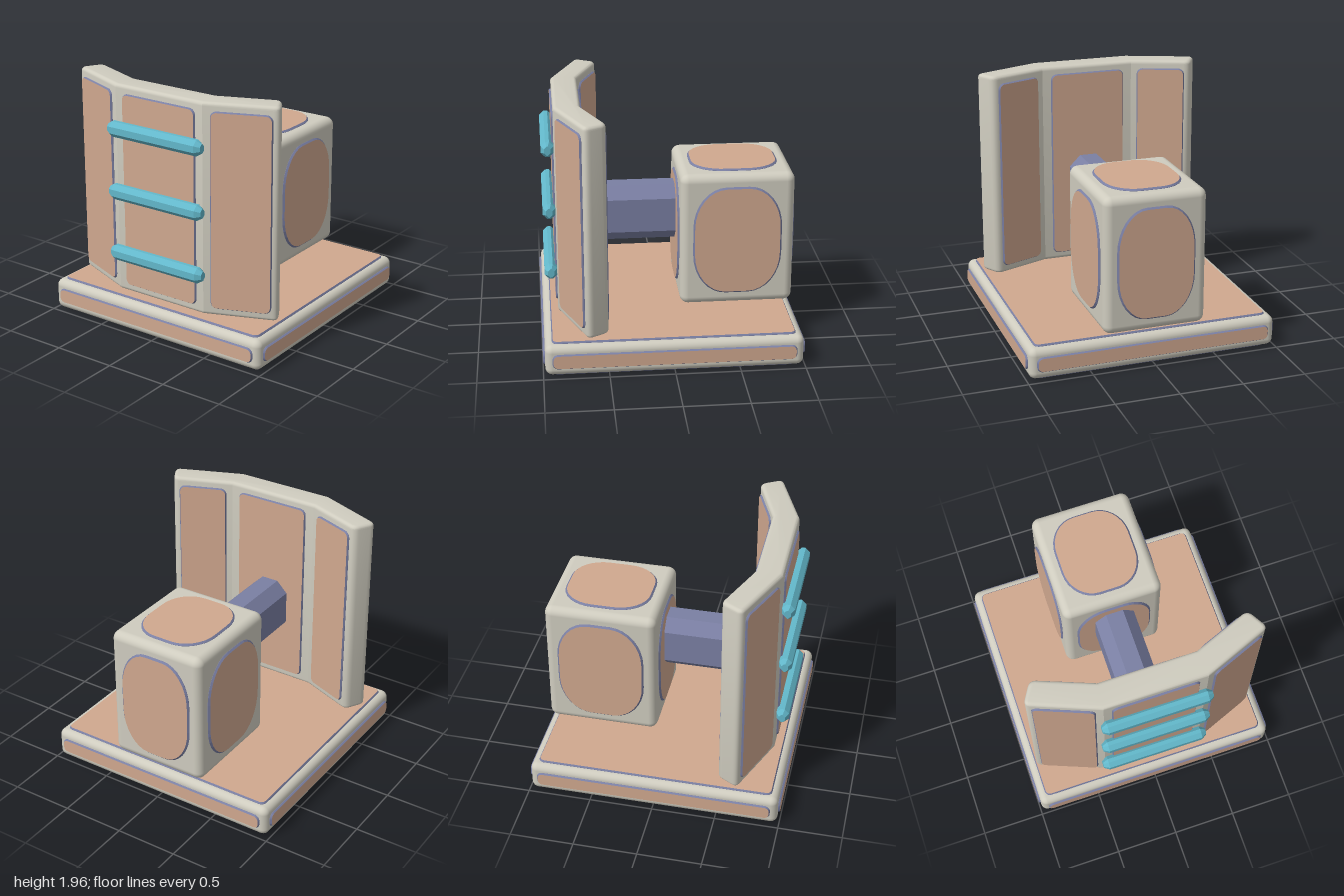
import * as THREE from 'three';
import { toCreasedNormals } from 'three/addons/utils/BufferGeometryUtils.js';
import { RoundedBoxGeometry } from 'three/addons/geometries/RoundedBoxGeometry.js';

export function createModel() {
  const model = new THREE.Group();
  const mat = (name, color) => new THREE.MeshStandardMaterial({ name, color });
  const shell = mat('warm grey shell', 0xcfccbf);
  const peach = mat('peach panel', 0xd0a88f);
  const slate = mat('slate blue', 0x7a7fa3);
  const teal = mat('teal', 0x63b8cb);

  function add(name, geometry, material, x = 0, y = 0, z = 0) {
    const mesh = new THREE.Mesh(geometry, material);
    mesh.name = name;
    mesh.position.set(x, y, z);
    model.add(mesh);
    return mesh;
  }

  // Raised panel facing +z: peach face with a sloping slate rim
  function panelGeometry(hw, hh, rx, ry, rim) {
    const s = new THREE.Shape();
    const corners = [[1, 1], [-1, 1], [-1, -1], [1, -1]];
    corners.forEach(([sx, sy], i) => {
      const a = i * Math.PI / 2;
      s.absellipse(sx * (hw - rx), sy * (hh - ry), rx, ry, a, a + Math.PI / 2, false, 0);
    });
    s.closePath();
    const g = new THREE.ExtrudeGeometry(s, {
      depth: 0.02, curveSegments: 4, bevelSegments: 1,
      bevelThickness: 0.013, bevelSize: rim, bevelOffset: -rim,
    });
    return g.translate(0, 0, 0.015 - 0.033);
  }
  function addPanel(name, hw, hh, [rx, ry], pos, turnX, turnY, rim = 0.008) {
    const m = add(name, panelGeometry(hw, hh, rx, ry, rim), [peach, slate], ...pos);
    m.rotation.set(turnX, turnY, 0);
  }

  // Rounded block with a panel on each of its six faces
  function panelledBlock(name, w, h, d, y, z, radius, px, py, pz, cornerOf, rim) {
    add(name, new RoundedBoxGeometry(w, h, d, 4, radius), shell, 0, y, z);
    const q = Math.PI / 2;
    for (const s of [1, -1]) {
      addPanel(name + 'EndPanel', px, py, cornerOf(px, py), [0, y, z + s * d / 2], 0, s > 0 ? 0 : Math.PI, rim);
      addPanel(name + 'SidePanel', pz, py, cornerOf(pz, py), [s * w / 2, y, z], 0, s * q, rim);
      addPanel(name + (s > 0 ? 'TopPanel' : 'BottomPanel'), px, pz, cornerOf(px, pz), [0, y + s * h / 2, z], -s * q, 0, rim);
    }
  }

  // Base slab and rear block
  panelledBlock('base', 1.97, 0.245, 1.97, 0.1375, 0, 0.055, 0.93, 0.06, 0.93, () => [0.045, 0.045], 0.008);
  panelledBlock('rearBlock', 0.81, 1.08, 0.89, 0.83, -0.54, 0.065, 0.308, 0.442, 0.347,
    (a, b) => [a * 0.75, b * 0.75], 0.013);

  // Octagon with cut corners
  function octagon(a, b, c) {
    return new THREE.Shape([
      [a, -b + c], [a, b - c], [a - c, b], [-a + c, b],
      [-a, b - c], [-a, -b + c], [-a + c, -b], [a - c, -b],
    ].map(([x, y]) => new THREE.Vector2(x, y)));
  }

  // Arm joining the block to the shield
  add('arm', new THREE.ExtrudeGeometry(octagon(0.16, 0.225, 0.09), { depth: 0.78, bevelEnabled: false }),
    slate, 0, 0.965, -0.11);

  // Folded shield: plan outline with rounded ends, extruded upward
  const front = [0.935, 0.655], back = [0.835, 0.483];
  const foldFront = [0.4, 0.867], foldBack = [0.38, 0.66];
  const toward = (p, q, d) => {
    const len = Math.hypot(q[0] - p[0], q[1] - p[1]);
    return [p[0] + (q[0] - p[0]) * d / len, p[1] + (q[1] - p[1]) * d / len];
  };
  const flip = ([x, z]) => [-x, z];
  const plan = new THREE.Shape();
  const roundCorner = (prev, p, next) => {
    plan.lineTo(...toward(p, prev, 0.055));
    plan.quadraticCurveTo(...p, ...toward(p, next, 0.055));
  };
  plan.moveTo(...flip(foldBack));
  plan.lineTo(...foldBack);
  roundCorner(foldBack, back, front);
  roundCorner(back, front, foldFront);
  plan.lineTo(...foldFront);
  plan.lineTo(...flip(foldFront));
  roundCorner(flip(foldFront), flip(front), flip(back));
  roundCorner(flip(front), flip(back), flip(foldBack));
  plan.closePath();
  const b = 0.03;
  const shieldGeo = new THREE.ExtrudeGeometry(plan, {
    depth: 1.67 - 2 * b, curveSegments: 8, bevelSegments: 6,
    bevelThickness: b, bevelSize: b, bevelOffset: -b,
  });
  shieldGeo.rotateX(Math.PI / 2);
  add('shield', toCreasedNormals(shieldGeo, 0.32), shell, 0, 1.955 - b, 0);

  // Shield panels, front and back
  const midY = 1.118, halfH = 0.774, r = [0.05, 0.05];
  addPanel('shieldFrontPanel', 0.337, halfH, r, [0, midY, 0.867], 0, 0);
  addPanel('shieldBackPanel', 0.31, halfH, r, [0, midY, 0.66], 0, Math.PI);
  function wingPanel(name, p, q, x0, x1, facing) {
    const slope = (q[1] - p[1]) / (q[0] - p[0]);
    const angle = Math.atan(-slope);
    const cx = (x0 + x1) / 2, cz = p[1] + (cx - p[0]) * slope;
    const hw = (x1 - x0) / 2 / Math.cos(angle);
    for (const s of [1, -1]) addPanel(name, hw, halfH, r, [s * cx, midY, cz], 0, facing + s * angle);
  }
  wingPanel('wingFrontPanel', foldFront, front, 0.453, 0.885, 0);
  wingPanel('wingBackPanel', foldBack, back, 0.425, 0.79, Math.PI);

  // Three rungs with tapered ends
  const rungGeo = new THREE.ExtrudeGeometry(octagon(0.05, 0.061, 0.035), {
    depth: 0.78, bevelSegments: 1, bevelThickness: 0.042, bevelSize: 0.025, bevelOffset: -0.025,
  });
  rungGeo.translate(0, 0, -0.39).rotateY(Math.PI / 2);
  for (const y of [0.62, 1.12, 1.62]) add('rung', rungGeo, teal, 0, y, 0.915);

  return model;
}
